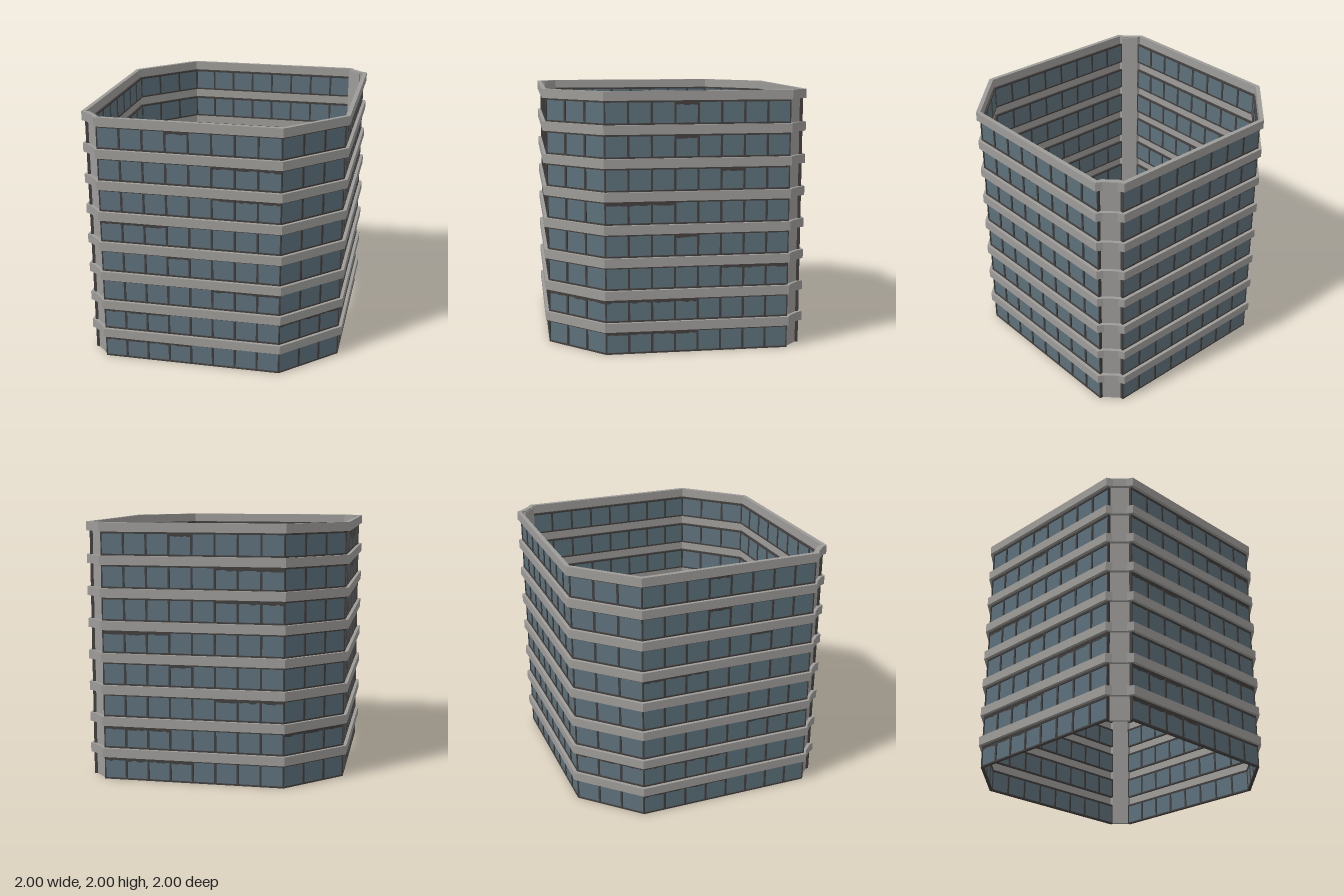
import * as THREE from 'three';

const FLOORS = 8, PITCH = 0.25, WINDOW_H = 0.18, WALL = 0.975;

const concrete = new THREE.MeshStandardMaterial({ color: 0x9d9c99 });
concrete.name = 'concrete';
const glass = new THREE.MeshStandardMaterial({ color: 0x5d707b });
glass.name = 'blue grey glass';
const frame = new THREE.MeshStandardMaterial({ color: 0x43403e, side: THREE.DoubleSide });
frame.name = 'dark frame';

let seed = 7;
const rand = () => (seed = (seed * 16807) % 2147483647) / 2147483647;

function add(parent, name, geometry, material) {
  const mesh = new THREE.Mesh(geometry, material);
  mesh.name = name;
  parent.add(mesh);
  return mesh;
}

// Mirror half a floor outline through the centre to get the whole outline
function outline(half) {
  const pts = half.concat(half.map(([x, z]) => [-x, -z]));
  return pts.map(([x, z]) => new THREE.Vector2(x, -z));
}

// Concrete ring that follows the walls and steps in at the two narrow corners
function bandGeometry() {
  const shape = new THREE.Shape(outline([
    [-1, 0.855], [-0.955, 0.88], [-0.88, 0.955], [-0.855, 1], [0.57, 1], [1, 0.57]]));
  shape.holes.push(new THREE.Path(outline([
    [-0.967, 0.84], [-0.935, 0.845], [-0.845, 0.935], [-0.84, 0.967], [0.557, 0.967], [0.967, 0.557]])));
  const g = new THREE.ExtrudeGeometry(shape, { depth: PITCH - WINDOW_H, bevelEnabled: false });
  return g.rotateX(-Math.PI / 2);
}

// Window frame with one opening per pane
function frameGeometry(length, panes) {
  const rect = (T, x0, y0, x1, y1) => new T([[x0, y0], [x1, y0], [x1, y1], [x0, y1]]
    .map(([x, y]) => new THREE.Vector2(x, y)));
  const shape = rect(THREE.Shape, -length / 2, 0, length / 2, WINDOW_H);
  const w = length / panes;
  for (let i = 0; i < panes; i++) {
    const x = -length / 2 + i * w;
    shape.holes.push(rect(THREE.Path, x + 0.008, 0.012, x + w - 0.008, WINDOW_H - 0.015));
  }
  const g = new THREE.ExtrudeGeometry(shape, { depth: 0.025, bevelEnabled: false });
  return g.translate(0, 0, -0.025);
}

// Ragged strip hanging from the top of a run of panes
function raggedGeometry(x0, x1) {
  const top = WINDOW_H - 0.01;
  const pts = [new THREE.Vector2(x1, top), new THREE.Vector2(x0, top)];
  const steps = Math.round((x1 - x0) / 0.025);
  for (let i = 0; i <= steps; i++) {
    pts.push(new THREE.Vector2(x0 + (x1 - x0) * i / steps, top - 0.016 - 0.013 * rand()));
  }
  return new THREE.ShapeGeometry(new THREE.Shape(pts));
}

// One straight wall: a strip of windows on every floor
function wall(parent, name, length, panes, x, z, angle, ragged) {
  const group = new THREE.Group();
  group.name = name;
  group.position.set(x, 0, z);
  group.rotation.y = angle;
  parent.add(group);
  const frameGeo = frameGeometry(length, panes);
  const glassGeo = new THREE.BoxGeometry(length - 0.01, WINDOW_H - 0.01, 0.01);
  const w = length / panes;
  for (let f = 0; f < FLOORS; f++) {
    const y = f * PITCH;
    add(group, 'windowFrame', frameGeo, frame).position.y = y;
    add(group, 'windowGlass', glassGeo, glass).position.set(0, y + WINDOW_H / 2, -0.0135);
    const run = ragged[f];
    if (run) {
      const g = raggedGeometry(-length / 2 + run[0] * w, -length / 2 + run[1] * w);
      add(group, 'raggedStrip', g, frame).position.set(0, y, -0.006);
    }
  }
}

// Half of the tower: two long walls, the wide corner and the narrow pillar
function towerHalf() {
  const half = new THREE.Group();
  const long = 1.41, mid = -0.145;
  wall(half, 'longWall', long, 8, mid, WALL, 0,
    [[0, 4], [0, 3], [5, 8], [3, 4], [0, 3], [5, 8], [5, 8], [3, 4]]);
  wall(half, 'wideCorner', 0.587, 3, 0.7675, 0.7675, Math.PI / 4,
    [null, [0, 3]]);
  wall(half, 'sideWall', long, 8, WALL, mid, Math.PI / 2,
    [[0, 4], [0, 4], [5, 8], [3, 4], [0, 3], [5, 6], [3, 4], [3, 4]]);
  const pillar = add(half, 'cornerPillar', new THREE.BoxGeometry(0.1414, 1.99, 0.02), concrete);
  pillar.position.set(-0.893, 0.995, 0.893);
  pillar.rotation.y = -Math.PI / 4;
  return half;
}

export function createModel() {
  const model = new THREE.Group();
  model.name = 'towerShell';

  const front = towerHalf();
  front.name = 'frontHalf';
  const back = towerHalf();
  back.name = 'backHalf';
  back.rotation.y = Math.PI;
  model.add(front, back);

  // Concrete band above every row of windows
  const band = bandGeometry();
  for (let f = 0; f < FLOORS; f++) {
    add(model, 'floorBand', band, concrete).position.y = f * PITCH + WINDOW_H;
  }
  return model;
}
